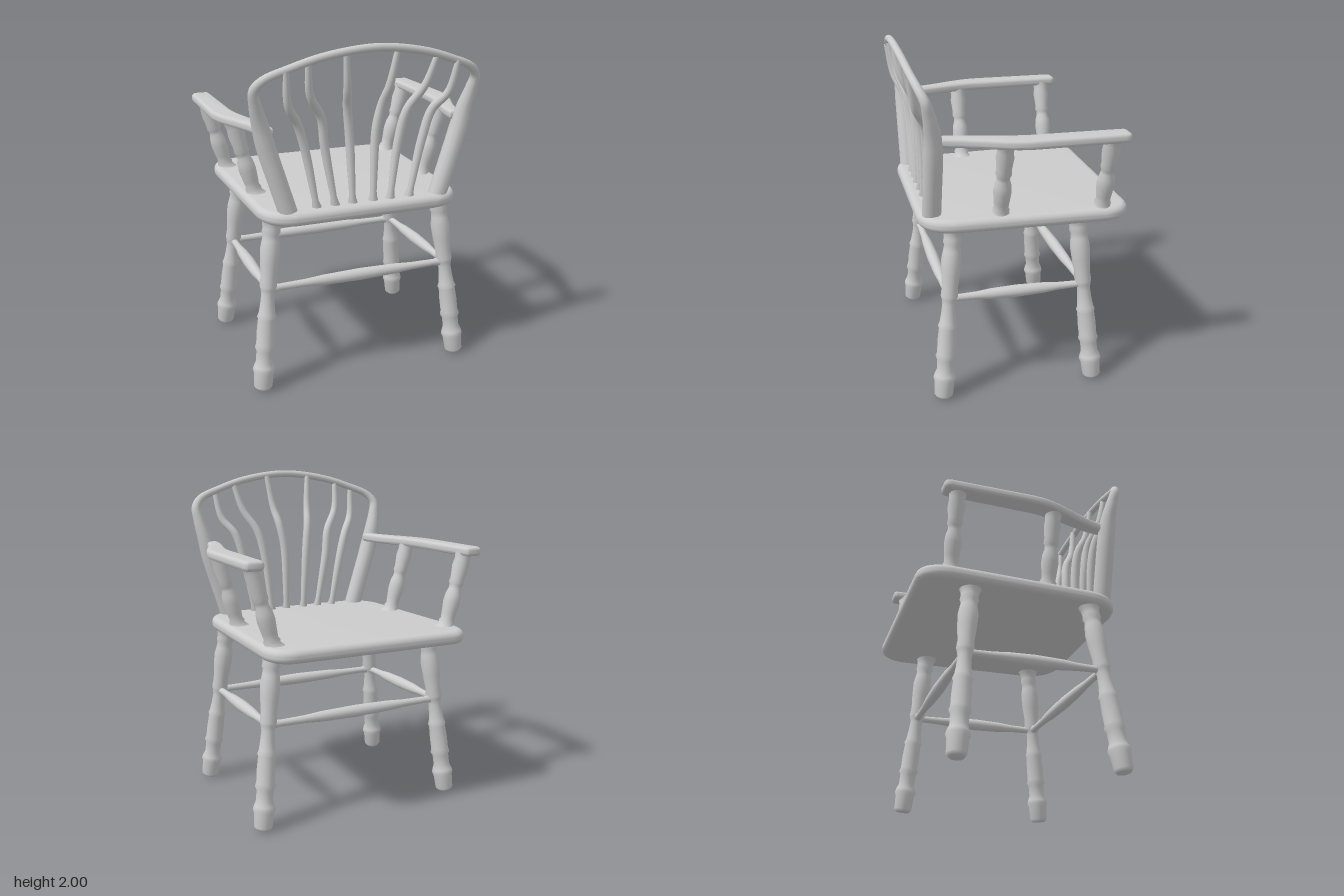
import * as THREE from 'three';
import { toCreasedNormals } from 'three/addons/utils/BufferGeometryUtils.js';

const material = new THREE.MeshStandardMaterial({ color: 0xcccccc });
const V = (p) => new THREE.Vector3(...p);

function addMesh(group, name, geometry) {
  const mesh = new THREE.Mesh(geometry, material);
  mesh.name = name;
  group.add(mesh);
  return mesh;
}

// Lathe-turned rod from a to b; profile lists [fraction of length, radius]
function turned(group, name, a, b, profile) {
  const start = V(a), dir = V(b).sub(start), length = dir.length();
  const points = profile.map(([t, r]) => new THREE.Vector2(r, t * length));
  const mesh = addMesh(group, name, new THREE.LatheGeometry(points, 20));
  mesh.position.copy(start);
  mesh.quaternion.setFromUnitVectors(new THREE.Vector3(0, 1, 0), dir.normalize());
}

// Bent rod along a curve whose radius follows radiusAt(point, fraction)
function bentRod(group, name, points, segments, radiusAt) {
  const curve = new THREE.CatmullRomCurve3(points.map(V));
  const sides = 12;
  const geometry = new THREE.TubeGeometry(curve, segments, 1, sides);
  const pos = geometry.attributes.position, normal = geometry.attributes.normal;
  const n = new THREE.Vector3();
  for (let i = 0; i < pos.count; i++) {
    const u = Math.floor(i / (sides + 1)) / segments;
    const c = curve.getPointAt(u);
    n.fromBufferAttribute(normal, i);
    c.addScaledVector(n, radiusAt(c, u));
    pos.setXYZ(i, c.x, c.y, c.z);
  }
  geometry.computeBoundingSphere();
  addMesh(group, name, geometry);
}

// Flat board with rounded edges, drawn in x and z, between two heights
function board(group, name, shape, bottom, top, round) {
  const geometry = new THREE.ExtrudeGeometry(shape, {
    depth: top - bottom - 2 * round, bevelThickness: round, bevelSize: round,
    bevelOffset: -round, bevelSegments: 5, curveSegments: 12,
  });
  geometry.rotateX(Math.PI / 2).translate(0, top - round, 0);
  addMesh(group, name, toCreasedNormals(geometry, 0.7));
}

const legProfile = [
  [0, 0], [0.003, 0.04], [0.02, 0.054], [0.1, 0.058], [0.12, 0.066], [0.14, 0.06],
  [0.17, 0.049], [0.23, 0.05], [0.25, 0.06], [0.27, 0.053], [0.34, 0.054], [0.42, 0.05],
  [0.43, 0.056], [0.45, 0.048], [0.5, 0.042], [0.56, 0.038], [0.59, 0.044], [0.61, 0.05],
  [0.66, 0.046], [0.74, 0.054], [0.82, 0.058], [0.87, 0.05], [0.9, 0.046], [0.915, 0.054],
  [0.94, 0.05], [0.97, 0.055], [1, 0.07],
];
const postProfile = [
  [0, 0.065], [0.05, 0.045], [0.09, 0.048], [0.12, 0.04], [0.2, 0.044], [0.35, 0.051],
  [0.45, 0.047], [0.52, 0.037], [0.57, 0.037], [0.6, 0.045], [0.66, 0.042], [0.82, 0.05],
  [0.92, 0.045], [1, 0.052],
];
const stretcherProfile = [
  [0, 0.03], [0.06, 0.02], [0.2, 0.023], [0.3, 0.031], [0.5, 0.036], [0.7, 0.031],
  [0.8, 0.023], [0.94, 0.02], [1, 0.03],
];

export function createModel() {
  const chair = new THREE.Group();
  chair.name = 'armchair';

  // Seat, a little narrower towards the backrest
  const seat = new THREE.Shape();
  seat.moveTo(-0.5, -0.65);
  seat.lineTo(0.49, -0.64);
  seat.quadraticCurveTo(0.63, -0.63, 0.64, -0.47);
  seat.lineTo(0.61, 0.38);
  seat.quadraticCurveTo(0.59, 0.56, 0.42, 0.58);
  seat.lineTo(-0.42, 0.58);
  seat.quadraticCurveTo(-0.59, 0.56, -0.61, 0.38);
  seat.lineTo(-0.64, -0.47);
  seat.quadraticCurveTo(-0.63, -0.65, -0.5, -0.65);
  board(chair, 'seat', seat, 1.015, 1.095, 0.036);

  // Splayed legs and the stretchers between them
  const legs = [[0.39, 0.49], [-0.335, -0.425]];
  for (const [zTop, zFoot] of legs) {
    for (const s of [-1, 1]) {
      turned(chair, 'leg', [s * 0.63, 0.005, zFoot], [s * 0.52, 1.03, zTop], legProfile);
    }
    const z = zTop + (zFoot - zTop) * 0.4;
    turned(chair, 'crossStretcher', [-0.56, 0.61, z], [0.56, 0.61, z], stretcherProfile);
  }
  for (const s of [-1, 1]) {
    turned(chair, 'sideStretcher', [s * 0.565, 0.61, -0.37], [s * 0.565, 0.61, 0.43], stretcherProfile);
  }

  // Armrests on two turned posts each
  for (const s of [-1, 1]) {
    const arm = new THREE.Shape();
    arm.moveTo(s * 0.66, -0.555);
    arm.lineTo(s * 0.73, -0.555);
    arm.quadraticCurveTo(s * 0.755, -0.55, s * 0.755, -0.51);
    arm.lineTo(s * 0.755, -0.02);
    arm.bezierCurveTo(s * 0.75, 0.16, s * 0.63, 0.28, s * 0.6, 0.5);
    arm.lineTo(s * 0.53, 0.49);
    arm.bezierCurveTo(s * 0.54, 0.3, s * 0.62, 0.16, s * 0.63, -0.02);
    arm.lineTo(s * 0.64, -0.52);
    arm.quadraticCurveTo(s * 0.64, -0.55, s * 0.66, -0.555);
    board(chair, 'armrest', arm, 1.515, 1.57, 0.02);
    turned(chair, 'frontArmPost', [s * 0.565, 1.08, -0.465], [s * 0.685, 1.53, -0.465], postProfile);
    turned(chair, 'rearArmPost', [s * 0.54, 1.08, 0.125], [s * 0.66, 1.53, 0.125], postProfile);
  }

  // Bent hoop: thick uprights running into a slim crest
  const half = [
    [0.455, 1.07, 0.5], [0.52, 1.28, 0.5], [0.575, 1.46, 0.5], [0.605, 1.58, 0.505],
    [0.635, 1.7, 0.525], [0.645, 1.78, 0.545], [0.6, 1.835, 0.57], [0.48, 1.885, 0.592],
    [0.28, 1.945, 0.613],
  ];
  const hoop = [
    ...half.map(([x, y, z]) => [-x, y, z]),
    [0, 1.978, 0.625],
    ...half.slice().reverse(),
  ];
  bentRod(chair, 'backHoop', hoop, 120, (p) =>
    0.022 + 0.032 * (1 - THREE.MathUtils.smoothstep(p.y, 1.45, 1.9)));

  // Fanned spindles, kinked backwards above the arms
  const spindles = [
    [[-0.29, 1.08], [-0.36, 1.44], [-0.405, 1.58], [-0.47, 1.69], [-0.49, 1.88]],
    [[-0.18, 1.08], [-0.245, 1.44], [-0.27, 1.6], [-0.35, 1.74], [-0.37, 1.92]],
    [[-0.075, 1.08], [-0.1, 1.5], [-0.12, 1.65], [-0.14, 1.76], [-0.16, 1.96]],
    [[0.05, 1.08], [0.06, 1.5], [0.085, 1.65], [0.105, 1.76], [0.135, 1.965]],
    [[0.155, 1.08], [0.2, 1.44], [0.24, 1.61], [0.32, 1.75], [0.37, 1.92]],
    [[0.275, 1.08], [0.345, 1.42], [0.395, 1.6], [0.465, 1.7], [0.5, 1.88]],
  ];
  const depths = [0.5, 0.5, 0.52, 0.57, 0.605];
  for (const path of spindles) {
    const points = path.map(([x, y], i) => [x, y, depths[i]]);
    bentRod(chair, 'backSpindle', points, 40, (p, u) =>
      0.016 + 0.01 * Math.sin(Math.PI * u) + 0.015 * Math.max(0, 1 - u / 0.06));
  }

  return chair;
}
